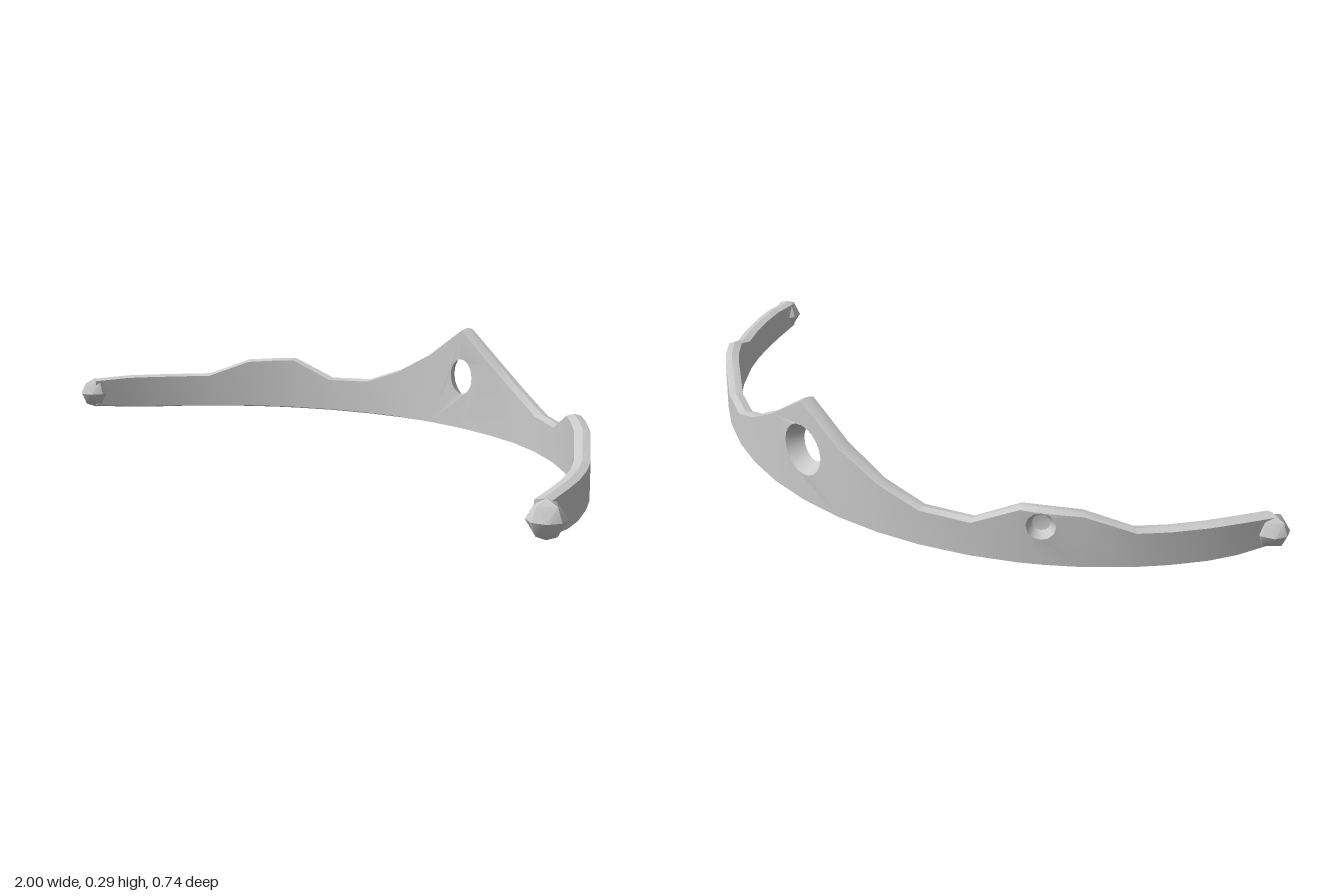
import * as THREE from 'three';
import { toCreasedNormals } from 'three/addons/utils/BufferGeometryUtils.js';

const CENTER_Z = 0.65, R_OUT = 1.018, R_IN = 0.98, R_MID = 1.0;

// top edge of one half: [x, height, bottom edge height]
const HALF = [
  [0, 0.295, 0], [0.13, 0.21, 0], [0.25, 0.147, 0], [0.36, 0.106, 0], [0.48, 0.102, 0],
  [0.58, 0.156, 0], [0.63, 0.154, 0], [0.695, 0.148, 0], [0.78, 0.103, 0], [0.83, 0.102, 0],
  [0.88, 0.102, 0], [0.915, 0.102, 0.003], [0.952, 0.097, 0.012],
];
const angleOf = x => Math.asin(x / 1.004);

// a point on the curved band: angle round the head, height, radius
const bend = (a, y, r) => [r * Math.sin(a), y, CENTER_Z - r * Math.cos(a)];

function createBand() {
  const pos = [];
  const tri = (a, b, c) => pos.push(...a, ...b, ...c);
  const quad = (a, b, c, d) => { tri(a, b, c); tri(a, c, d); };

  const columns = [...HALF.slice(1).reverse().map(([x, t, b]) => [-x, t, b]), ...HALF]
    .map(([x, top, low]) => ({ a: angleOf(x), top, low, rIn: Math.abs(x) < 0.2 ? 0.976 : R_IN }));
  const mid = HALF.length - 1;

  // six-cornered cross-section with a soft ridge along top and bottom
  const section = ({ a, top, low, rIn }) => [
    bend(a, low + 0.006, R_OUT), bend(a, top - 0.005, R_OUT), bend(a, top, R_MID),
    bend(a, top - 0.005, rIn), bend(a, low + 0.006, rIn), bend(a, low, R_MID),
  ];
  const sections = columns.map(section);

  // wall faces that are pierced get their own panels
  const outerSkip = new Set([mid - 1, mid, mid - 7, mid - 6, mid + 5, mid + 6]);
  const innerSkip = new Set([mid - 1, mid]);
  for (let i = 0; i < sections.length - 1; i++) {
    const s = sections[i], t = sections[i + 1];
    for (let k = 0; k < 6; k++) {
      if ((k === 0 && outerSkip.has(i)) || (k === 3 && innerSkip.has(i))) continue;
      const n = (k + 1) % 6;
      quad(s[k], s[n], t[n], t[k]);
    }
  }
  // end caps
  const first = sections[0], last = sections[sections.length - 1];
  for (let k = 1; k < 5; k++) {
    tri(first[0], first[k + 1], first[k]);
    tri(last[0], last[k], last[k + 1]);
  }

  // ellipse in (angle, height)
  const ellipse = (a, y, ra, ry, n = 20) => Array.from({ length: n }, (_, i) => {
    const t = i / n * Math.PI * 2;
    return new THREE.Vector2(a + ra * Math.cos(t), y + ry * Math.sin(t));
  });

  // wall panel of three columns with a hole in it
  const panel = (c, hole, outer) => {
    const cols = [columns[c - 1], columns[c], columns[c + 1]];
    const contour = [
      ...cols.map(q => new THREE.Vector2(q.a, q.low + 0.006)),
      ...cols.slice().reverse().map(q => new THREE.Vector2(q.a, q.top - 0.005)),
    ];
    const holePts = hole.slice().reverse();
    const all = [...contour, ...holePts];
    const r = outer ? R_OUT : cols[1].rIn;
    for (const [i, j, k] of THREE.ShapeUtils.triangulateShape(contour, [holePts])) {
      const ccw = THREE.ShapeUtils.area([all[i], all[j], all[k]]) > 0;
      const p = [i, j, k].map(v => bend(all[v].x, all[v].y, r));
      if (ccw !== outer) tri(p[0], p[1], p[2]); else tri(p[0], p[2], p[1]);
    }
  };

  // sloping wall from an outer ring to a deeper ring, facing the hole's axis
  const funnel = (ringA, rA, ringB, rB) => ringA.forEach((_, i) => {
    const n = (i + 1) % ringA.length;
    const [a, b, c, d] = [[ringA[i], rA], [ringB[i], rB], [ringB[n], rB], [ringA[n], rA]]
      .map(([p, r]) => bend(p.x, p.y, r));
    quad(a, b, c, d);
  });

  // tapered hole through the centre peak
  const wide = ellipse(0, 0.152, 0.07, 0.07), narrow = ellipse(0, 0.156, 0.044, 0.05);
  panel(mid, wide, true);
  panel(mid, narrow, false);
  funnel(wide, R_OUT, narrow, columns[mid].rIn);

  // shallow round sockets on the outside of the side bumps
  for (const side of [-1, 1]) {
    const a = side * angleOf(0.62);
    const rim = ellipse(a, 0.111, 0.036, 0.036, 12), floor = ellipse(a, 0.111, 0.022, 0.022, 12);
    panel(mid + side * 6, rim, true);
    funnel(rim, R_OUT, floor, 0.996);
    const centre = bend(a, 0.111, 0.992);
    floor.forEach((p, i) => {
      const q = floor[(i + 1) % floor.length];
      tri(centre, bend(q.x, q.y, 0.996), bend(p.x, p.y, 0.996));
    });
  }

  const geo = new THREE.BufferGeometry();
  geo.setAttribute('position', new THREE.Float32BufferAttribute(pos, 3));
  return toCreasedNormals(geo, 0.5);
}

export function createModel() {
  const group = new THREE.Group();
  group.name = 'tiara';
  const material = new THREE.MeshStandardMaterial({ color: 0xcccccc });

  const band = new THREE.Mesh(createBand(), material);
  band.name = 'band';
  group.add(band);

  // faceted knobs at both ends
  const tipGeo = toCreasedNormals(new THREE.OctahedronGeometry(0.045, 1), 0.5);
  for (const side of [-1, 1]) {
    const tip = new THREE.Mesh(tipGeo, material);
    tip.name = side > 0 ? 'leftTip' : 'rightTip';
    tip.position.set(side * 0.955, 0.053, 0.327);
    group.add(tip);
  }
  return group;
}
